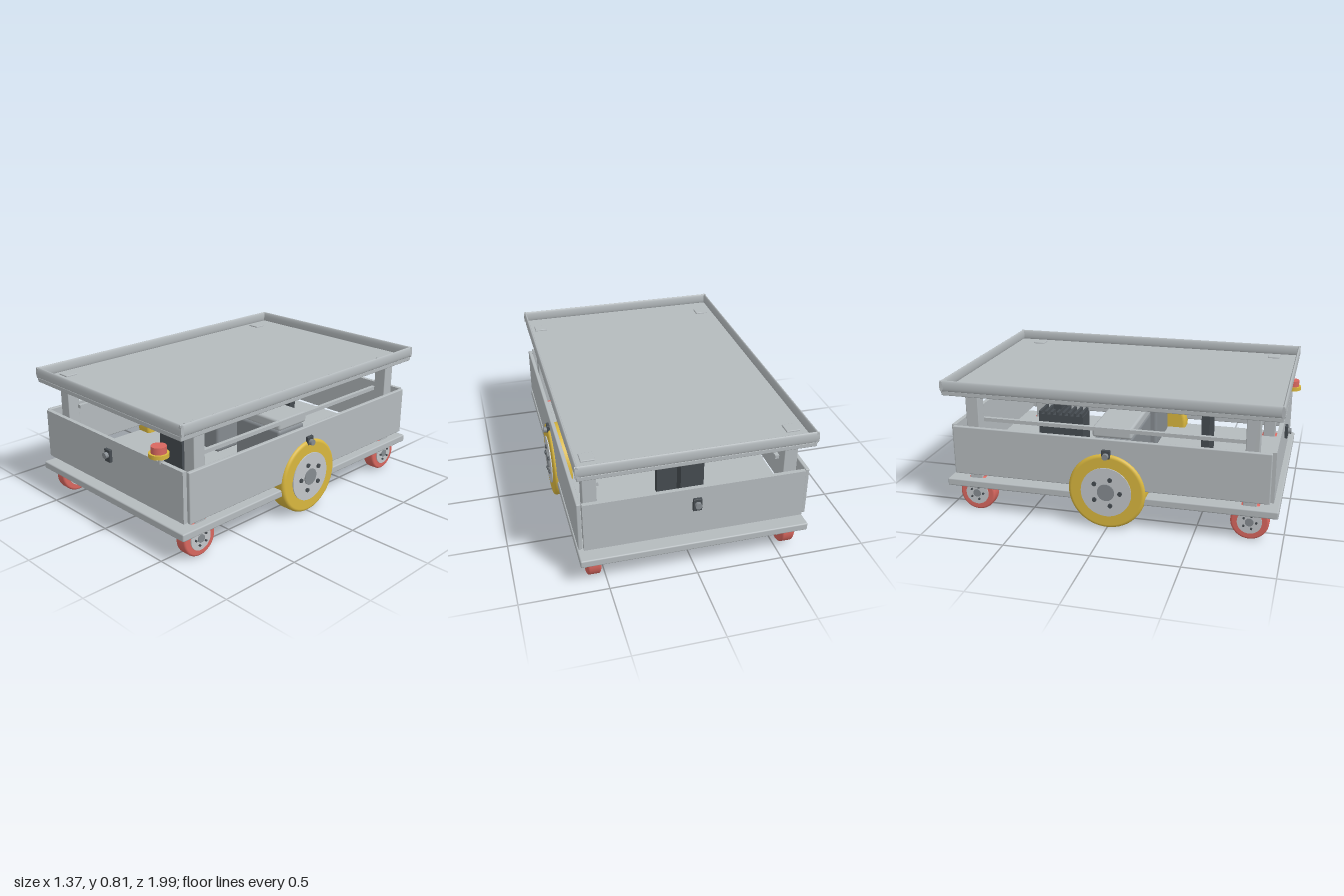
import * as THREE from 'three';
import { RoundedBoxGeometry } from 'three/addons/geometries/RoundedBoxGeometry.js';

const mat = (name, color) => {
  const m = new THREE.MeshStandardMaterial({ color });
  m.name = name;
  return m;
};

export function createModel() {
  const model = new THREE.Group();
  model.name = 'mobileCart';
  const grey = mat('painted grey', 0xb4babd);
  const silver = mat('hub silver', 0xc2c6c9);
  const steel = mat('mid steel', 0x858b90);
  const dark = mat('dark plastic', 0x454b50);
  const yellow = mat('yellow', 0xd8b63e);
  const red = mat('red', 0xd8675f);

  const add = (name, geo, material, x, y, z, parent = model) => {
    const mesh = new THREE.Mesh(geo, material);
    mesh.name = name;
    mesh.position.set(x, y, z);
    parent.add(mesh);
    return mesh;
  };
  // Box given by its limits, optionally with rounded edges
  const box = (name, material, [x0, x1], [y0, y1], [z0, z1], r = 0, parent = model) => {
    const s = [x1 - x0, y1 - y0, z1 - z0];
    const geo = r ? new RoundedBoxGeometry(...s, 2, r) : new THREE.BoxGeometry(...s);
    return add(name, geo, material, (x0 + x1) / 2, (y0 + y1) / 2, (z0 + z1) / 2, parent);
  };
  const disc = (name, material, r, y0, y1, x, z, parent = model) =>
    add(name, new THREE.CylinderGeometry(r, r, y1 - y0, 40), material, x, (y0 + y1) / 2, z, parent);

  // Base plate and open-topped body walls
  box('basePlate', grey, [-0.65, 0.65], [0.16, 0.205], [-0.985, 0.97], 0.008);
  box('frontWall', grey, [-0.622, 0.622], [0.245, 0.54], [0.915, 0.94]);
  box('backWall', grey, [-0.622, 0.622], [0.245, 0.54], [-0.945, -0.92]);
  for (const s of [-1, 1])
    box('sideWall', grey, s > 0 ? [0.626, 0.65] : [-0.65, -0.626], [0.245, 0.54], [-0.93, 0.92], 0.006);

  // Corner posts with pads showing through the tray floor
  for (const s of [-1, 1]) for (const z of [-0.82, 0.808]) {
    box('post', grey, [s * 0.565 - 0.039, s * 0.565 + 0.039], [0.2, 0.73], [z - 0.038, z + 0.038], 0.004);
    box('postPad', grey, [s * 0.565 - 0.039, s * 0.565 + 0.039], [0.74, 0.758], [z - 0.038, z + 0.038], 0.004);
  }

  // Top tray and its rounded rim
  box('trayFloor', grey, [-0.648, 0.648], [0.722, 0.75], [-0.985, 0.968], 0.005);
  const rim = (length, x, z, turn) => {
    const holder = new THREE.Group();
    holder.name = 'trayRim';
    const geo = new THREE.CylinderGeometry(1, 1, length, 24).rotateZ(Math.PI / 2).scale(1, 0.033, 0.01);
    add('rimBar', geo, grey, 0, 0, 0, holder);
    holder.position.set(x, 0.779, z);
    holder.rotation.y = turn;
    model.add(holder);
  };
  for (const z of [-0.98, 0.963]) rim(1.31, 0, z, 0);
  for (const x of [-0.645, 0.645]) rim(1.96, x, -0.008, Math.PI / 2);

  // Inner frame rails, drive housing and equipment
  for (const s of [-1, 1])
    box('innerRail', grey, [s * 0.515 - 0.012, s * 0.515 + 0.012], [0.54, 0.562], [-0.79, 0.78]);
  box('centreDeck', grey, [-0.525, 0.525], [0.5, 0.565], [-0.12, 0.115], 0.015);
  box('driveHousing', steel, [-0.52, 0], [0.2, 0.5], [-0.11, 0.11], 0.02);
  box('driveHousing', steel, [0.16, 0.52], [0.2, 0.5], [-0.11, 0.11], 0.02);
  box('battery', dark, [-0.16, -0.02], [0.214, 0.48], [-0.58, -0.29]);
  for (let i = 0; i < 8; i++) {
    const z = -0.57 + i * 0.038;
    box('batteryFin', dark, [-0.16, -0.02], [0.48, 0.5], [z - 0.008, z + 0.008]);
  }

  // Scanner turrets on slim supports
  for (const z of [0.47, -0.475]) {
    box('scannerSupport', dark, [-0.1, 0.1], [0.2, 0.565], [z - 0.025, z + 0.025]);
    disc('scannerMount', grey, 0.107, 0.548, 0.566, 0, z);
    disc('scannerBase', dark, 0.106, 0.566, 0.607, 0, z);
    disc('scannerNeck', dark, 0.096, 0.607, 0.658, 0, z);
    disc('scannerCap', steel, 0.105, 0.658, 0.678, 0, z);
  }

  // Wheel built along +y, then turned so its outer face looks outward
  const wheel = (name, tyreMat, r, half, hubR, x, y, z, side, bothFaces) => {
    const g = new THREE.Group();
    g.name = name;
    const c = half * 0.35;
    const profile = [[0, -half], [r - c, -half]];
    for (let i = 0; i <= 6; i++) {
      const a = (i / 6) * Math.PI / 2;
      profile.push([r - c + c * Math.sin(a), -half + c - c * Math.cos(a)]);
    }
    for (let i = 0; i <= 6; i++) {
      const a = (i / 6) * Math.PI / 2;
      profile.push([r - c + c * Math.cos(a), half - c + c * Math.sin(a)]);
    }
    profile.push([0, half]);
    add('tyre', new THREE.LatheGeometry(profile.map(p => new THREE.Vector2(...p)), 56), tyreMat, 0, 0, 0, g);
    for (const f of bothFaces ? [-1, 1] : [1]) {
      const face = new THREE.Group();
      face.name = 'hubFace';
      disc('hub', silver, hubR, half - 0.01, half + 0.006, 0, 0, face);
      disc('hubCap', steel, hubR * 0.34, half, half + 0.011, 0, 0, face);
      for (let i = 0; i < 5; i++) {
        const a = (i / 5) * Math.PI * 2;
        add('bolt', new THREE.CylinderGeometry(hubR * 0.09, hubR * 0.09, 0.018, 10), dark,
          Math.sin(a) * hubR * 0.56, half + 0.006, Math.cos(a) * hubR * 0.56, face);
      }
      if (f < 0) face.rotation.x = Math.PI;
      g.add(face);
    }
    g.rotation.z = -side * Math.PI / 2;
    g.position.set(x, y, z);
    model.add(g);
  };
  for (const s of [-1, 1]) {
    wheel('driveWheel', yellow, 0.226, 0.057, 0.148, s * 0.609, 0.228, 0, s, false);
    for (const z of [-0.82, 0.81])
      wheel('casterWheel', red, 0.109, 0.038, 0.07, s * 0.565, 0.109, z, s, true);
    // Dark slot under the base beside each drive wheel
    box('baseSlot', dark, s > 0 ? [0.16, 0.52] : [-0.52, -0.16], [0.154, 0.162], [-0.018, 0.018]);
  }

  // Small sensors on all four sides
  const sensor = (x, z, turn, y0) => {
    const g = new THREE.Group();
    g.name = 'sensor';
    box('sensorPlate', dark, [-0.025, 0.025], [y0, 0.48], [-0.004, 0.015], 0.003, g);
    const knob = add('sensorLens', new THREE.CylinderGeometry(0.018, 0.018, 0.03, 20), steel, 0, 0.447, 0.02, g);
    knob.rotation.x = Math.PI / 2;
    g.position.set(x, 0, z);
    g.rotation.y = turn;
    model.add(g);
  };
  sensor(0, 0.943, 0, 0.405);
  sensor(0, -0.95, Math.PI, 0.405);
  sensor(0.652, 0, Math.PI / 2, 0.43);
  sensor(-0.652, 0, -Math.PI / 2, 0.43);

  // Emergency stop button
  disc('stopNeck', grey, 0.015, 0.53, 0.577, 0.44, 0.93);
  disc('stopBase', yellow, 0.055, 0.575, 0.598, 0.443, 0.945);
  disc('stopButton', red, 0.042, 0.598, 0.636, 0.443, 0.945);

  return model;
}
